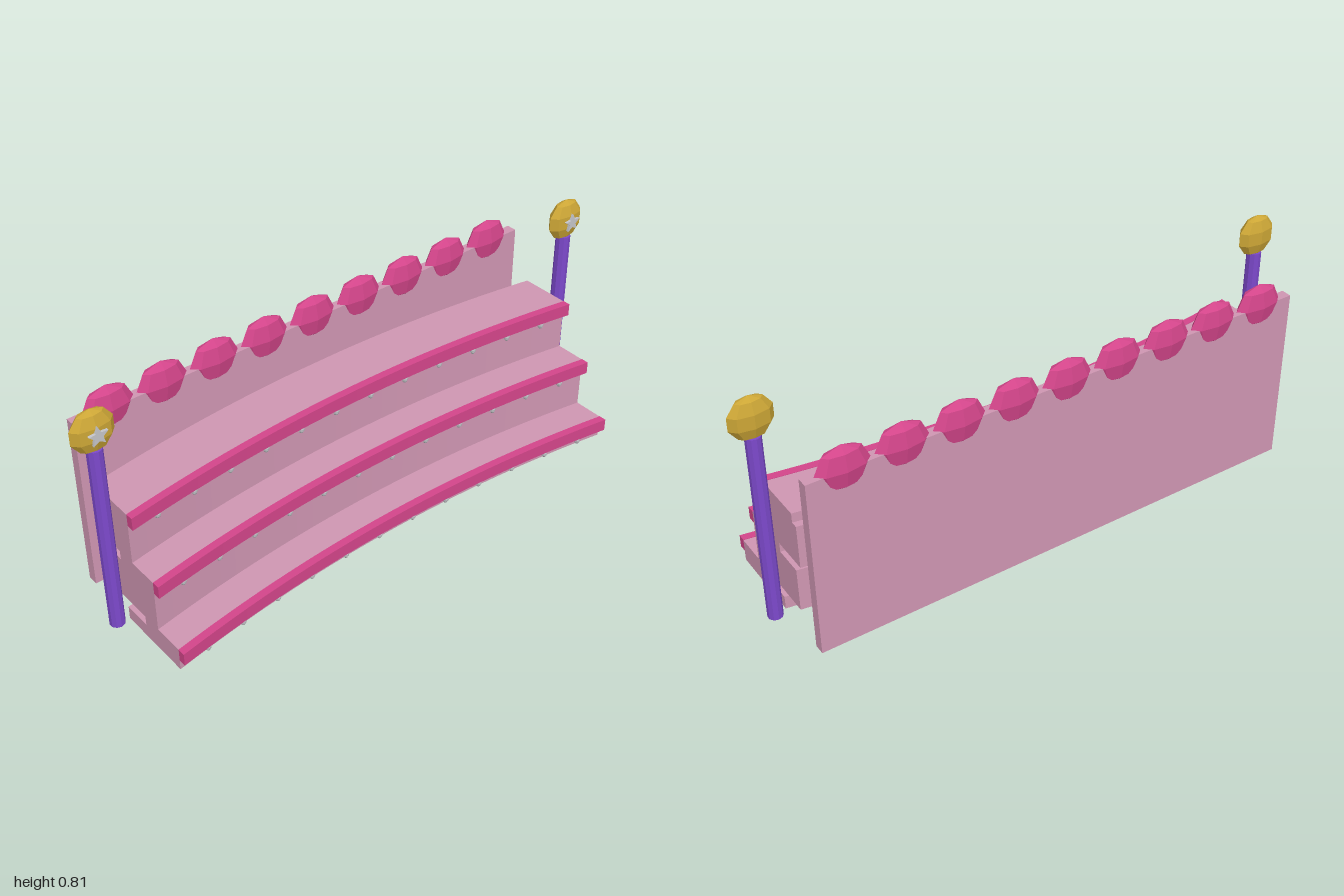
import * as THREE from 'three';

const HALF = 0.89;   // half length of the stand
const SAG = 0.077;   // how far the middle of each curve lies behind its ends

const material = (name, color, flatShading = false) => {
  const m = new THREE.MeshStandardMaterial({ color, flatShading });
  m.name = name;
  return m;
};

// z offset of the curved plan at x, measured from the ends
const bow = (x) => SAG * ((x / HALF) ** 2 - 1);

// Slab with parallel curved front and back; zFront and zBack are taken at the ends
function curvedSlab(zFront, zBack, y0, y1) {
  const n = 28, front = [], back = [];
  for (let i = 0; i <= n; i++) {
    const x = -HALF + (2 * HALF * i) / n;
    front.push(new THREE.Vector2(x, -(zFront + bow(x))));
    back.unshift(new THREE.Vector2(x, -(zBack + bow(x))));
  }
  const g = new THREE.ExtrudeGeometry(new THREE.Shape([...front, ...back]), { depth: y1 - y0, bevelEnabled: false });
  return g.rotateX(-Math.PI / 2).translate(0, y0, 0);
}

function starGeometry(radius, depth) {
  const pts = [];
  for (let i = 0; i < 10; i++) {
    const a = Math.PI / 2 + (i * Math.PI) / 5, r = i % 2 ? radius * 0.45 : radius;
    pts.push(new THREE.Vector2(Math.cos(a) * r, Math.sin(a) * r));
  }
  return new THREE.ExtrudeGeometry(new THREE.Shape(pts), { depth, bevelEnabled: false });
}

export function createModel() {
  const model = new THREE.Group();
  model.name = 'tieredStand';
  const pale = material('pale pink', 0xcf96b2);
  const hot = material('hot pink', 0xd3458a, true);
  const purple = material('purple', 0x7c49cb, true);
  const gold = material('gold', 0xcca636, true);
  const silver = material('silver', 0xc4c4c8, true);

  const add = (parent, name, geometry, mat, x = 0, y = 0, z = 0) => {
    const mesh = new THREE.Mesh(geometry, mat);
    mesh.name = name;
    mesh.position.set(x, y, z);
    parent.add(mesh);
    return mesh;
  };

  // Three curved steps: riser, tread, front trim and a row of bulbs
  const steps = [
    { y0: 0, top: 0.08, front: 0.363, riserBack: 0.087, treadBack: 0.186 },
    { y0: 0.08, top: 0.267, front: 0.255, riserBack: -0.025, treadBack: 0.077 },
    { y0: 0.267, top: 0.453, front: 0.145, riserBack: -0.057, treadBack: -0.034 },
  ];
  const bulbGeo = new THREE.SphereGeometry(1, 8, 6).scale(0.011, 0.018, 0.011);
  for (const s of steps) {
    const step = new THREE.Group();
    step.name = 'step';
    model.add(step);
    add(step, 'riser', curvedSlab(s.front, s.riserBack, s.y0, s.top - 0.033), pale);
    add(step, 'tread', curvedSlab(s.front, s.treadBack, s.top - 0.033, s.top), pale);
    add(step, 'trim', curvedSlab(s.front + 0.027, s.front, s.top - 0.043, s.top + 0.0015), hot);
    for (let i = 0; i < 12; i++) {
      const x = (i - 5.5) * 0.143;
      add(step, 'bulb', bulbGeo, silver, x, s.top - 0.053, s.front + bow(x) + 0.012);
    }
  }

  // Back wall with a row of faceted ornaments along its top
  add(model, 'backWall', new THREE.BoxGeometry(2 * HALF, 0.625, 0.037), pale, 0, 0.3125, -0.1285);
  const ornamentGeo = new THREE.SphereGeometry(1, 8, 4).scale(0.09, 0.077, 0.033);
  for (let i = 0; i < 9; i++) {
    add(model, 'ornament', ornamentGeo, hot, (i - 4) * 0.191, 0.624, -0.1285);
  }

  // Side posts with flattened finials and stars
  const postGeo = new THREE.CylinderGeometry(0.025, 0.025, 0.675, 10);
  const finialGeo = new THREE.SphereGeometry(1, 8, 5).scale(0.0745, 0.0735, 0.033);
  const starGeo = starGeometry(0.033, 0.0095);
  for (const side of [-1, 1]) {
    const post = new THREE.Group();
    post.name = side > 0 ? 'leftPost' : 'rightPost';
    post.position.set(side * 0.929, 0, 0.079);
    model.add(post);
    add(post, 'pole', postGeo, purple, 0, 0.3375, 0);
    add(post, 'finial', finialGeo, gold, 0, 0.737, 0);
    add(post, 'star', starGeo, silver, 0, 0.736, 0.0295);
  }

  return model;
}
